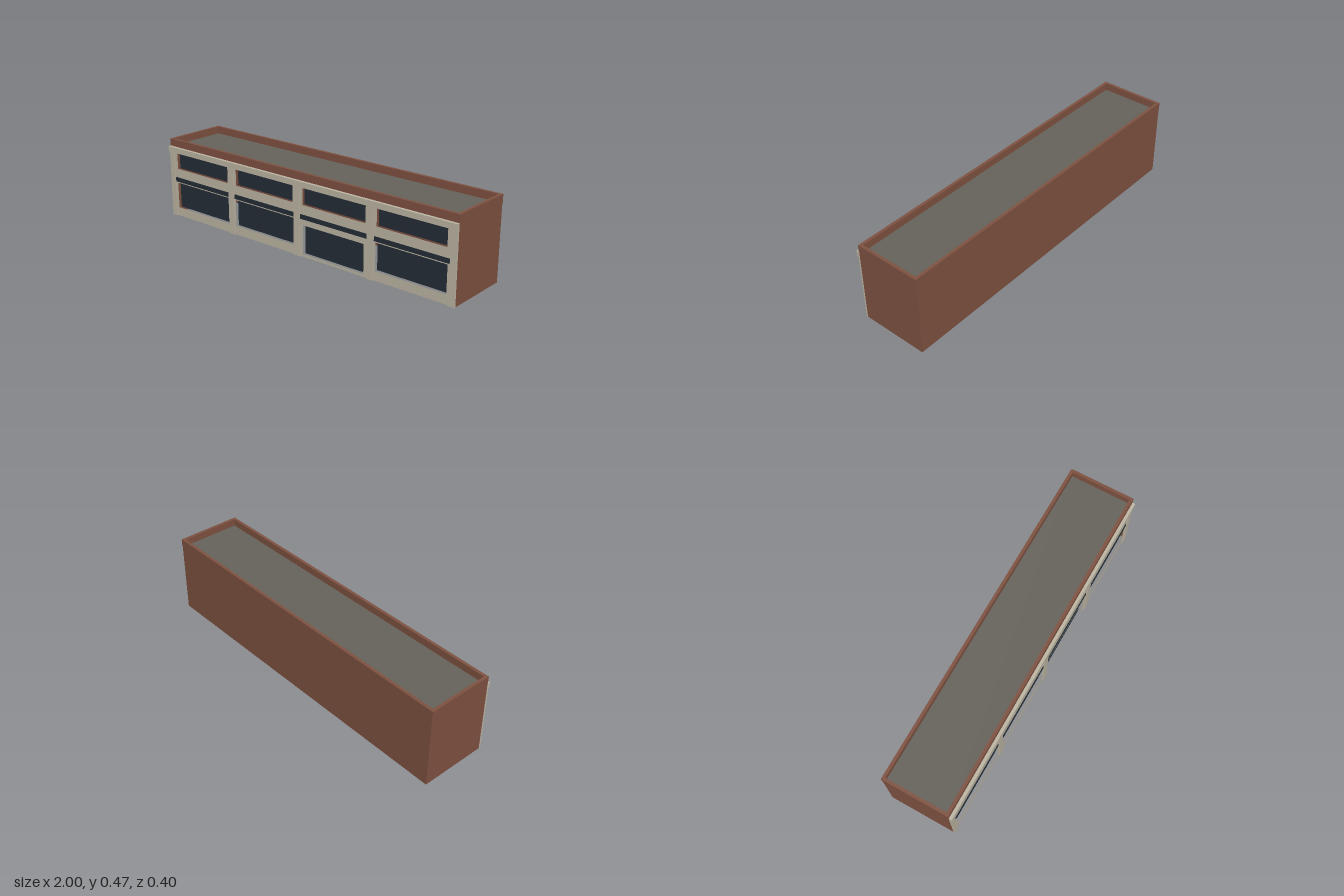
import * as THREE from 'three';

const material = (name, color, side = THREE.FrontSide) => {
  const m = new THREE.MeshStandardMaterial({ color, side });
  m.name = name;
  return m;
};

export function createModel() {
  const group = new THREE.Group();
  group.name = 'shopRow';
  const brick = material('brick', 0x7f5241, THREE.DoubleSide);
  const stone = material('stone', 0xbeb6a4, THREE.DoubleSide);
  const glass = material('darkGlass', 0x232d37, THREE.DoubleSide);
  const roofGrey = material('roofGrey', 0x66635b, THREE.DoubleSide);

  const add = (name, geometry, mat) => {
    const mesh = new THREE.Mesh(geometry, mat);
    mesh.name = name;
    group.add(mesh);
    return mesh;
  };
  // Box given by its lower and upper limits
  const box = (name, mat, x0, x1, y0, y1, z0, z1) =>
    add(name, new THREE.BoxGeometry(x1 - x0, y1 - y0, z1 - z0), mat)
      .position.set((x0 + x1) / 2, (y0 + y1) / 2, (z0 + z1) / 2);
  const rect = (Type, x0, x1, y0, y1) => new Type([
    new THREE.Vector2(x0, y0), new THREE.Vector2(x1, y0),
    new THREE.Vector2(x1, y1), new THREE.Vector2(x0, y1),
  ]);

  const front = 0.185, back = -0.2, roofY = 0.427, top = 0.47;

  // Thin brick shell, open underneath
  const backWall = add('backWall', new THREE.PlaneGeometry(1.996, roofY), brick);
  backWall.rotation.y = Math.PI;
  backWall.position.set(0, roofY / 2, -0.199);
  for (const side of [-1, 1]) {
    const wall = add('sideWall', new THREE.PlaneGeometry(front + 0.199, roofY), brick);
    wall.rotation.y = side * Math.PI / 2;
    wall.position.set(side * 0.998, roofY / 2, (front - 0.199) / 2);
  }

  // Flat roof inside a parapet ring
  const roof = add('roof', new THREE.PlaneGeometry(1.99, 0.38), roofGrey);
  roof.rotation.x = -Math.PI / 2;
  roof.position.set(0, roofY + 0.001, (front + back) / 2);
  const ring = rect(THREE.Shape, -1, 1, -front, -back);
  ring.holes.push(rect(THREE.Path, -0.983, 0.983, -front + 0.017, -back - 0.017));
  const parapet = add('parapet',
    new THREE.ExtrudeGeometry(ring, { depth: top - roofY, bevelEnabled: false }), brick);
  parapet.rotation.x = -Math.PI / 2;
  parapet.position.y = roofY;

  // Window openings: x0, x1, y0, y1
  const openings = [
    [-0.945, -0.527, 0.294, 0.393], [-0.46, -0.035, 0.294, 0.393],
    [0.035, 0.455, 0.294, 0.393], [0.525, 0.94, 0.294, 0.393],
    [-0.95, -0.524, 0.053, 0.207], [-0.466, -0.031, 0.053, 0.207],
    [0.038, 0.446, 0.016, 0.18], [0.52, 0.946, 0.053, 0.207],
  ];

  // Pierced facade with panes set back behind it
  const facade = rect(THREE.Shape, -0.998, 0.998, 0, roofY);
  openings.forEach(([x0, x1, y0, y1], i) => {
    facade.holes.push(rect(THREE.Path, x0, x1, y0, y1));
    const pane = add(i < 4 ? 'upperPane' : 'shopPane',
      new THREE.PlaneGeometry(x1 - x0, y1 - y0), glass);
    pane.position.set((x0 + x1) / 2, (y0 + y1) / 2, front - 0.018);
  });
  add('facade', new THREE.ShapeGeometry(facade), stone).position.z = front;

  // Pilasters with a dark fascia band between each pair
  const pilasters = [[-1, -0.964], [-0.516, -0.474], [-0.021, 0.019], [0.469, 0.511], [0.962, 1]];
  pilasters.forEach(([x0, x1], i) => {
    box('pilaster', stone, x0, x1, 0, roofY, front, 0.193);
    if (i < 4) box('fasciaBand', glass, x1, pilasters[i + 1][0], 0.214, 0.24, front, 0.188);
  });

  // Cornice across the front
  box('cornice', stone, -1, 1, 0.395, roofY, front, 0.202);
  return group;
}
